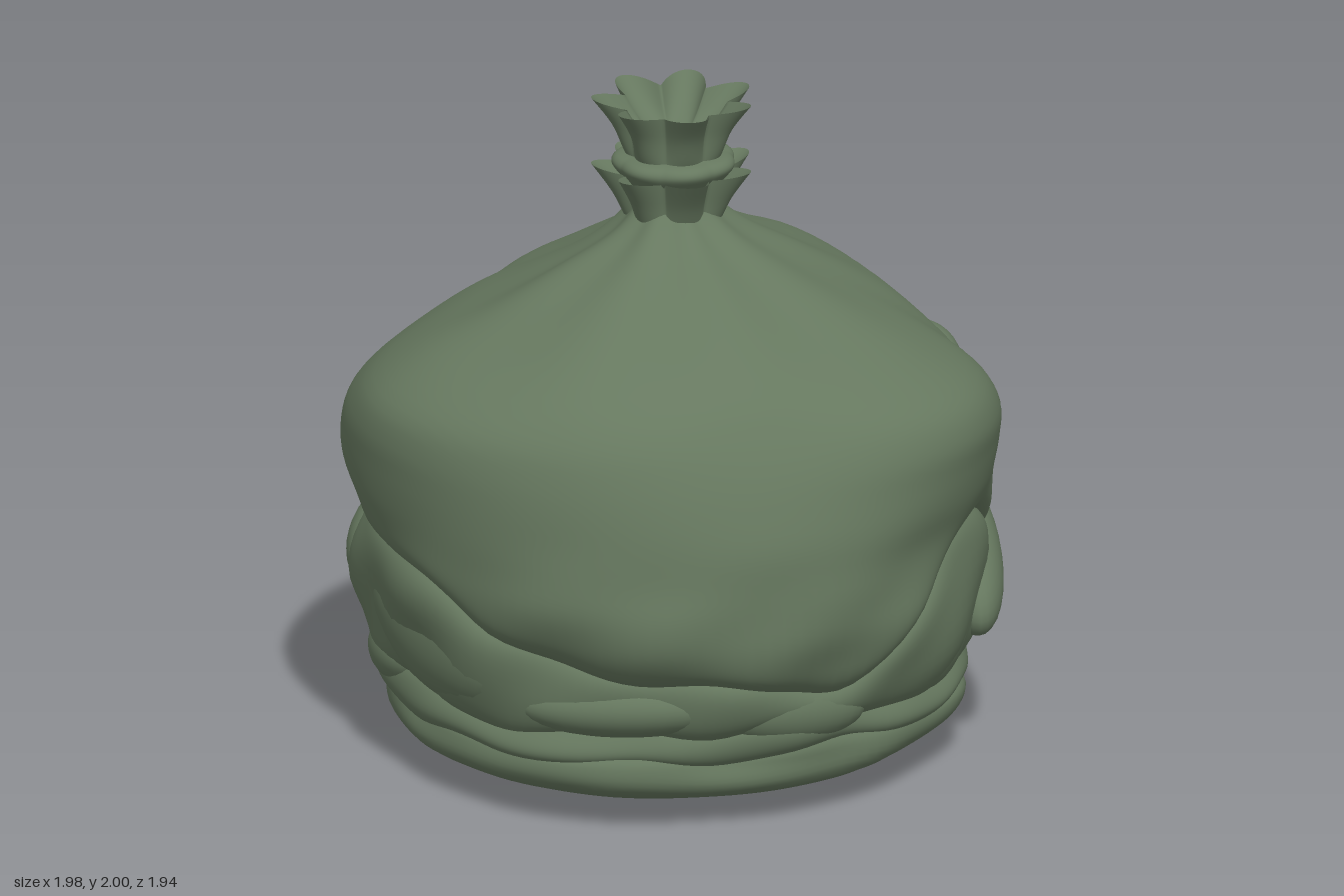
import * as THREE from 'three';

const TAU = Math.PI * 2, deg = Math.PI / 180;

// Smooth interpolation through evenly spaced values
function cubic(v, u, periodic) {
  const n = v.length, i = Math.floor(u), t = u - i;
  const g = k => periodic ? v[((k % n) + n) % n] : v[Math.min(n - 1, Math.max(0, k))];
  const a = g(i - 1), b = g(i), c = g(i + 1), d = g(i + 2);
  return b + 0.5 * t * (c - a + t * (2 * a - 5 * b + 4 * c - d + t * (3 * (b - c) + d - a)));
}
const around = (v, th) => cubic(v, th / TAU * v.length, true);

// Outlines of the sack every 0.1 in height from y = 0,
// in eight directions from the front towards its left
const outlines = [
  [.49, .8, .88, .86, .88, .91, .95, .97, .96, .95, .94, .92, .88, .78, .6, .38, .19, .08], // front
  [.48, .78, .83, .87, .9, .94, .97, .97, .96, .95, .92, .88, .82, .73, .57, .38, .19, .08],
  [.46, .77, .87, .86, .89, .91, .92, .92, .93, .96, .98, .99, .94, .78, .58, .38, .2, .1], // left
  [.5, .81, .9, .92, .95, .97, .97, .97, .96, .94, .94, .91, .83, .72, .57, .4, .23, .13],
  [.51, .82, .9, .93, .95, .95, .94, .93, .93, .93, .94, .91, .9, .86, .7, .46, .26, .15], // back
  [.5, .8, .88, .91, .94, .95, .96, .97, .98, .99, .99, .96, .91, .81, .62, .42, .23, .14],
  [.49, .79, .89, .91, .93, .96, .96, .93, .93, .98, .98, .93, .82, .67, .48, .31, .19, .12], // right
  [.49, .79, .85, .87, .88, .9, .92, .93, .94, .96, .97, .97, .93, .79, .57, .37, .18, .1],
];

// Heights of the fold lines around the sack, from the front towards its left
const folds = [
  [.21, .23, .2, .22, .24, .21, .2, .23, .19, .21, .24, .2, .22, .2, .23, .21, .19, .22, .24, .2, .21, .19, .21, .2],
  [.3, .31, .29, .33, .3, .29, .28, .3, .31, .34, .36, .33, .32, .35, .38, .34, .31, .33, .38, .34, .3, .33, .29, .27],
  [.52, .47, .48, .43, .41, .58, .74, .77, .63, .71, .73, .64, .6, .7, .79, .74, .64, .66, .7, .72, .73, .72, .7, .58],
];

const gauss = (x, w) => Math.exp(-x * x / (w * w));

// Radius of the sack at an angle and height
function sackRadius(th, y) {
  let r = around(outlines.map(o => cubic(o, y / 0.1)), th);
  const full = Math.sin(Math.PI * Math.min(1, y / 1.55));
  // long vertical pinches
  r -= 0.04 * gauss(th / deg - 122, 8) * gauss(y - 1.05, 0.32);
  r -= 0.03 * gauss(th / deg - 246, 8) * gauss(y - 1.1, 0.35);
  // gathered pleats below the neck
  const gather = THREE.MathUtils.smoothstep(y, 1.2, 1.6);
  r *= 1 + 0.05 * gather * Math.cos(8 * th + 0.4);
  // light crumpling of the lower half
  const low = 1 - THREE.MathUtils.smoothstep(y, 0.4, 1.0);
  r += low * full * (0.013 * Math.sin(7 * th + 9 * y) + 0.01 * Math.sin(13 * th - 14 * y));
  // sunken creases along the fold lines
  const depth = [0.03, 0.035, 0.045];
  folds.forEach((f, i) => {
    const d = y - around(f, th);
    r -= depth[i] * Math.exp(-Math.abs(d) / (d > 0 ? 0.03 : 0.045));
  });
  return r;
}

// Closed loops stacked in rows; point(t, angle) gives [radius, height]
function loft(rows, segs, point, start = 0) {
  const pos = [], idx = [];
  for (let i = 0; i <= rows; i++) for (let j = 0; j < segs; j++) {
    const a = j / segs * TAU, [r, y] = point(i / rows, a);
    pos.push(r * Math.sin(a + start), y, r * Math.cos(a + start));
  }
  for (let i = 0; i < rows; i++) for (let j = 0; j < segs; j++) {
    const k = (j + 1) % segs, a = i * segs + j, b = i * segs + k;
    idx.push(a, b, a + segs, b, b + segs, a + segs);
  }
  const g = new THREE.BufferGeometry();
  g.setAttribute('position', new THREE.Float32BufferAttribute(pos, 3));
  g.setIndex(idx);
  g.computeVertexNormals();
  return g;
}

export function createModel() {
  const model = new THREE.Group();
  model.name = 'tiedSack';
  const plastic = new THREE.MeshStandardMaterial({ color: 0x66785f });
  plastic.name = 'greenPlastic';
  const add = (name, geometry, parent = model) => {
    const m = new THREE.Mesh(geometry, plastic);
    m.name = name;
    parent.add(m);
    return m;
  };

  // Underside, slightly conical
  const base = 0.03, top = 1.69, segs = 120;
  add('underside', loft(6, segs, (t, th) => [t * sackRadius(th, base), base * t]));

  // Sack in bands that meet at the fold lines
  const edge = (i, th) => i < 0 ? base : i > 2 ? top : around(folds[i], th);
  ['bottomBand', 'lowerFold', 'middleFold', 'upperSack'].forEach((name, i) => {
    add(name, loft(i === 3 ? 56 : 16, segs, (t, th) => {
      const e = t - Math.sin(TAU * t) * 0.1;
      const y = THREE.MathUtils.lerp(edge(i - 1, th), edge(i, th), e);
      return [sackRadius(th, y), y];
    }));
  });

  // Puffed folds: angle, height, distance, half width, half height, half depth, tilt
  const puffs = [
    [-38, .5, .77, .38, .21, .13, -.15],
    [12, .38, .75, .34, .1, .14, .06],
    [48, .35, .76, .26, .11, .11, -.1],
    [-62, .33, .78, .22, .11, .12, .1],
    [92, .52, .8, .26, .25, .11, 0],
    [122, .55, .87, .34, .14, .11, .45],
    [138, 1.07, .83, .15, .11, .1, .1],
    [146, .86, .85, .24, .14, .11, -.1],
    [178, .56, .83, .3, .15, .12, -.15],
    [160, .34, .81, .26, .11, .13, .2],
    [206, .38, .82, .3, .11, .12, -.1],
    [222, .62, .84, .32, .16, .12, .2],
    [272, .55, .87, .26, .15, .12, -.1],
    [246, .36, .82, .24, .1, .12, .1],
  ];
  const folded = new THREE.Group();
  folded.name = 'puffedFolds';
  model.add(folded);
  for (const [a, y, d, w, h, k, tilt] of puffs) {
    const m = add('puffedFold', new THREE.SphereGeometry(1, 32, 20), folded);
    m.scale.set(w, h, k);
    m.position.set(d * Math.sin(a * deg), y, d * Math.cos(a * deg));
    m.rotation.set(0, a * deg, tilt, 'YXZ');
  }

  // Neck: rows of [radius, height, petal depth], seven soft petals
  const neck = new THREE.Group();
  neck.name = 'neck';
  neck.position.set(-0.01, 0, -0.04);
  model.add(neck);
  const ruffle = (name, rows) => add(name, loft((rows.length - 1) * 5, 140, (t, th) => {
    const u = t * (rows.length - 1);
    const [r, y, amp] = [0, 1, 2].map(k => cubic(rows.map(p => p[k]), u));
    const valley = 1 - Math.abs(Math.cos(3.5 * th)) ** 1.2;
    return [Math.max(0, r) * (1 - amp * valley), y - 0.05 * amp * valley];
  }, 88 * deg), neck);
  ruffle('lowerRuffle', [[.12, 1.58, 0], [.145, 1.63, .12], [.185, 1.71, .25], [.245, 1.795, .36]]);
  ruffle('lowerRuffleInside', [[.245, 1.795, .36], [.18, 1.75, .3], [.12, 1.72, .1]]);
  ruffle('tie', [[.12, 1.72, 0], [.16, 1.765, .04], [.185, 1.8, .05], [.17, 1.825, .04], [.12, 1.835, 0]]);
  ruffle('upperRuffle', [[.13, 1.8, 0], [.15, 1.84, .12], [.185, 1.92, .25], [.245, 2.0, .36]]);
  ruffle('upperRuffleInside', [[.245, 2.0, .36], [.17, 1.93, .34], [.09, 1.88, .3], [0, 1.855, .2]]);

  return model;
}
